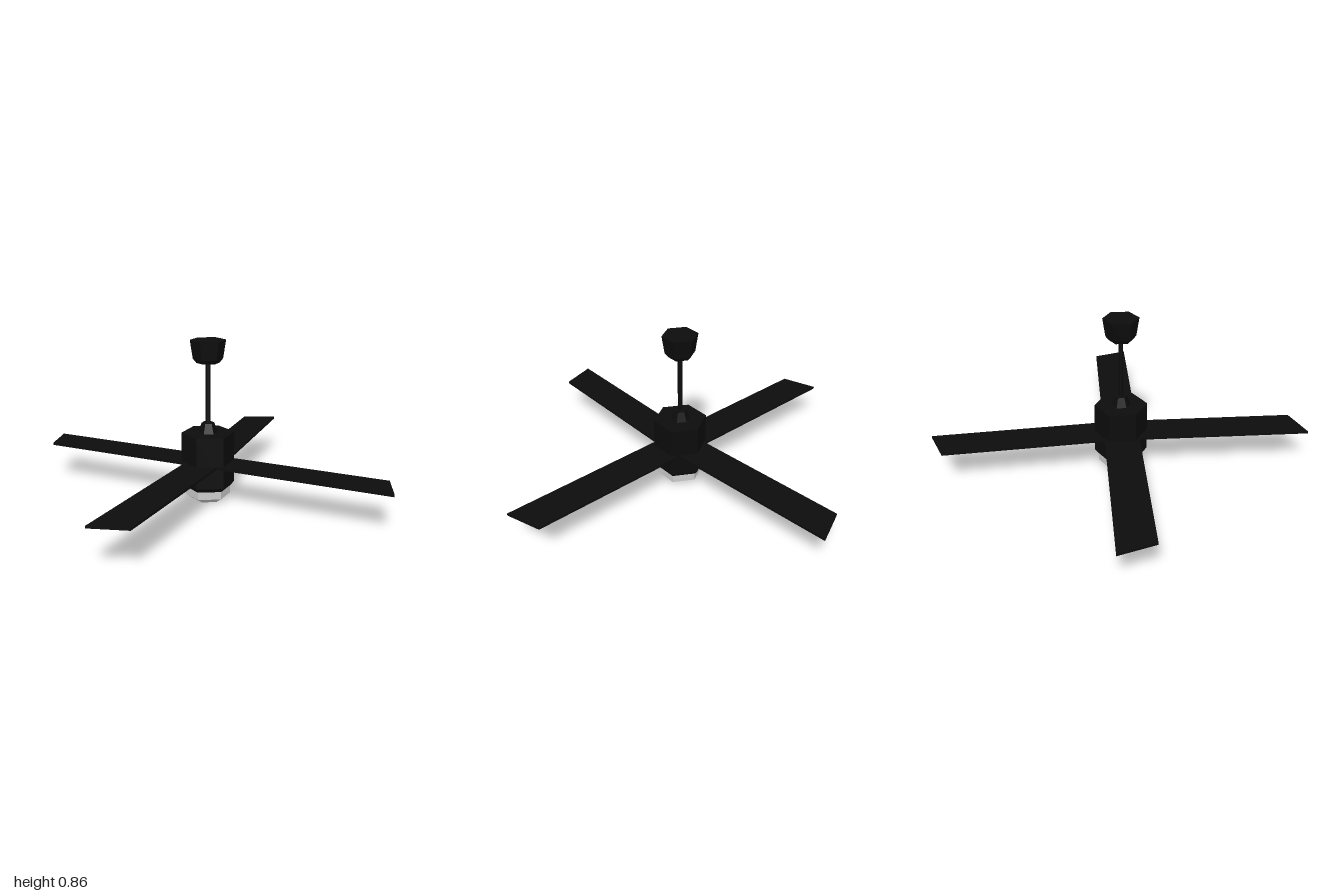
import * as THREE from 'three';

const dark = new THREE.MeshStandardMaterial({ color: 0x0c0c0c, flatShading: true });
const grey = new THREE.MeshStandardMaterial({ color: 0xcccccc, flatShading: true });

// Six-sided solid from a [radius, height] profile, listed bottom to top
function hexPart(name, profile, material) {
  const points = profile.map(([r, y]) => new THREE.Vector2(r, y));
  points.unshift(new THREE.Vector2(0, profile[0][1]));
  points.push(new THREE.Vector2(0, profile[profile.length - 1][1]));
  const mesh = new THREE.Mesh(new THREE.LatheGeometry(points, 6), material);
  mesh.name = name;
  return mesh;
}

// Flat blade along +x with a slanted tip
function bladeGeometry() {
  const outline = new THREE.Shape([
    new THREE.Vector2(0.05, -0.092),
    new THREE.Vector2(0.94, -0.092),
    new THREE.Vector2(1, 0.092),
    new THREE.Vector2(0.05, 0.092),
  ]);
  const thickness = 0.012;
  return new THREE.ExtrudeGeometry(outline, { depth: thickness, bevelEnabled: false })
    .translate(0, 0, -thickness / 2)
    .rotateX(Math.PI / 2);
}

export function createModel() {
  const fan = new THREE.Group();
  fan.name = 'ceilingFan';

  // Hanging hardware and motor
  fan.add(
    hexPart('canopy', [[0.06, 0.738], [0.078, 0.76], [0.093, 0.857]], dark),
    hexPart('downrod', [[0.012, 0.4], [0.012, 0.75]], dark),
    hexPart('rodCollar', [[0.052, 0.365], [0.034, 0.42]], dark),
    hexPart('motorHousing', [[0.122, 0.07], [0.14, 0.092], [0.14, 0.368]], dark),
    hexPart('lamp', [[0.078, 0], [0.12, 0.028], [0.12, 0.075]], grey),
  );

  // Four blades, the rear one turned slightly further round
  const geometry = bladeGeometry();
  for (const angle of [0, 95, 180, 270]) {
    const blade = new THREE.Mesh(geometry, dark);
    blade.name = 'blade';
    blade.position.y = 0.206;
    blade.rotation.y = THREE.MathUtils.degToRad(angle);
    fan.add(blade);
  }
  return fan;
}
